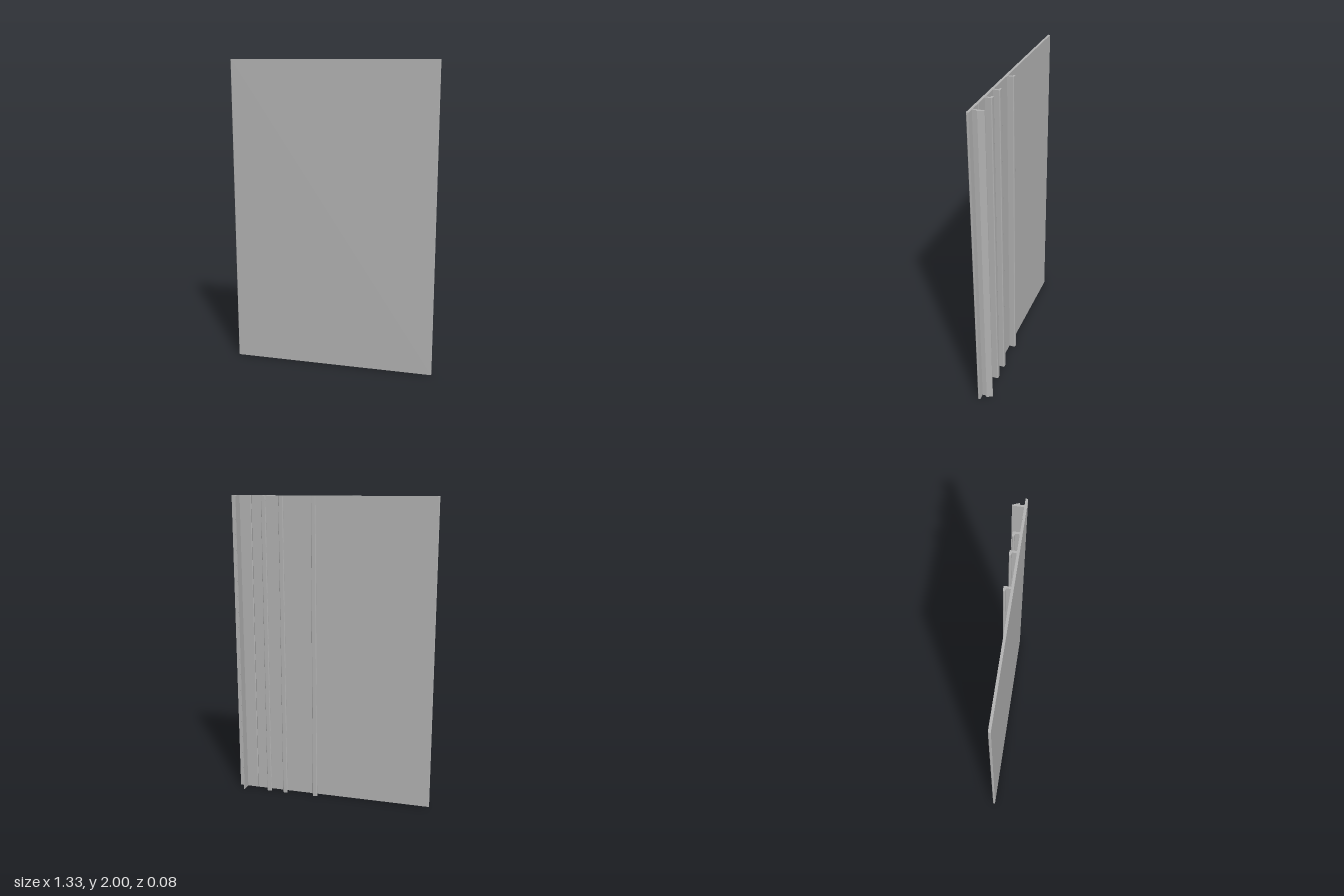
import * as THREE from 'three';

const HEIGHT = 2;
const BACK = 0.026, FRONT = 0.041; // z of the panel's two faces

// Extrudes an (x, z) cross-section along the full height
function profile(name, shape, material) {
  const geo = new THREE.ExtrudeGeometry(shape, { depth: HEIGHT, bevelEnabled: false, curveSegments: 6 });
  geo.rotateX(-Math.PI / 2);
  const mesh = new THREE.Mesh(geo, material);
  mesh.name = name;
  return mesh;
}

// Shape from (x, z) points; z is negated so that the rotation restores it
function section(points) {
  return new THREE.Shape(points.map(([x, z]) => new THREE.Vector2(x, -z)));
}

// L-shaped hook: stem rising from the panel, rounded lip pointing to -x
function hookShape(x) {
  const top = 0.014, under = 0, r = 0.006, stem = 0.013, lip = 0.032;
  const s = new THREE.Shape();
  s.moveTo(x, -BACK);
  s.lineTo(x, top - r);
  s.quadraticCurveTo(x, top, x - r, top);
  s.lineTo(x - lip + r, top);
  s.quadraticCurveTo(x - lip, top, x - lip, top - r);
  s.quadraticCurveTo(x - lip + 0.001, 0.003, x - lip + 0.01, under);
  s.lineTo(x - stem, under);
  s.lineTo(x - stem, -BACK);
  return s;
}

export function createModel() {
  const grey = new THREE.MeshStandardMaterial({ color: 0xb3b3b3 });
  grey.name = 'grey';
  const model = new THREE.Group();
  model.name = 'profiledPanel';

  // Flat panel with chamfered edges and a fine score line on the back
  const c = 0.003, w = 0.665, score = 0.533;
  model.add(profile('panel', section([
    [-w, FRONT - c], [-w + c, FRONT], [w - c, FRONT], [w, FRONT - c],
    [w, BACK], [score + 0.004, BACK], [score, BACK + 0.004], [score - 0.004, BACK],
    [-w + c, BACK], [-w, BACK + c],
  ]), grey));

  // Three hooked rails
  [0.124, 0.337, 0.452].forEach((x, i) => {
    model.add(profile('hookRail' + (i + 1), hookShape(x), grey));
  });

  // Barbed snap rail
  model.add(profile('snapRail', section([
    [0.610, BACK], [0.622, BACK], [0.622, 0.001], [0.631, -0.001], [0.631, -0.006],
    [0.616, -0.041], [0.610, -0.041],
  ]), grey));

  return model;
}
